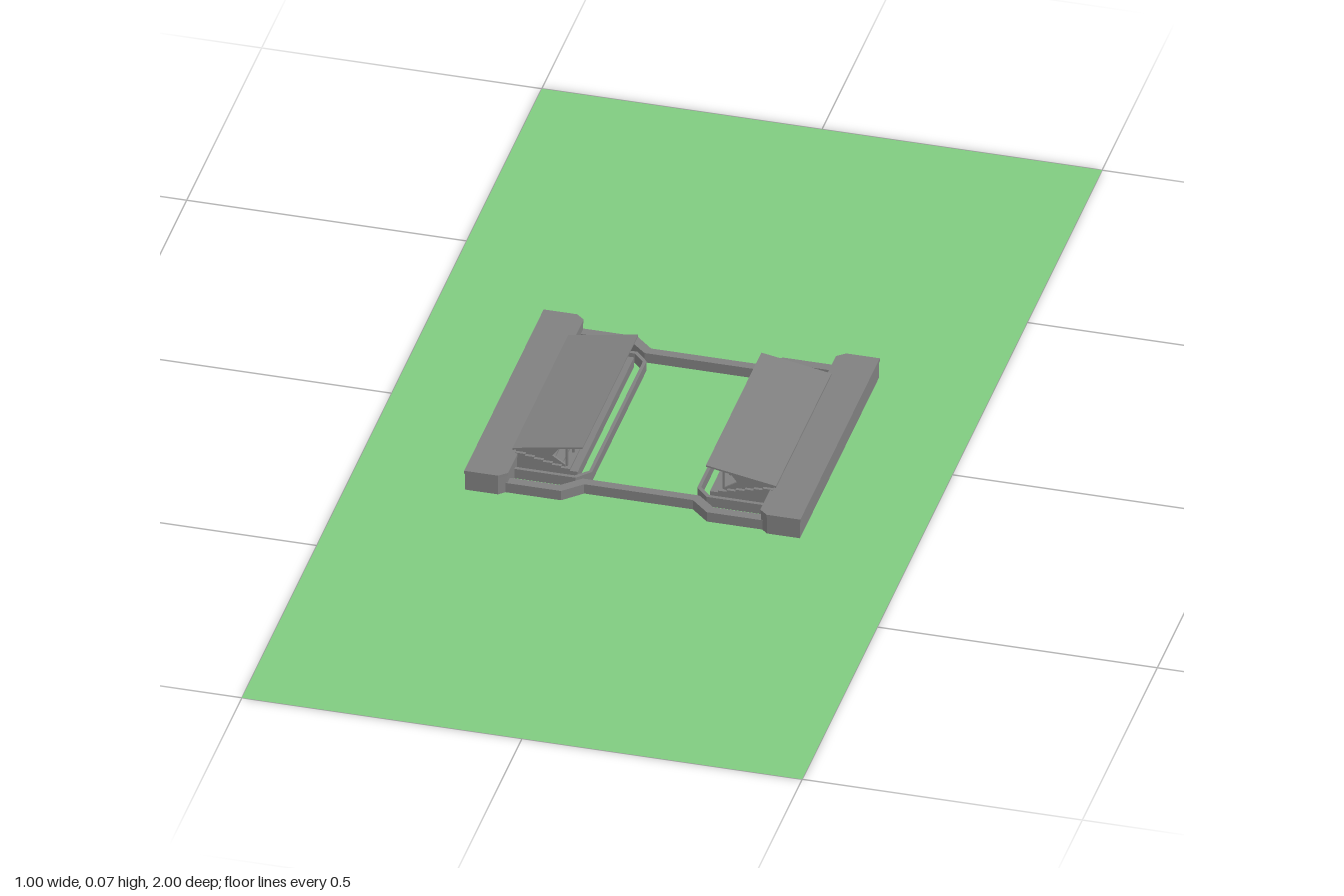
import * as THREE from 'three';

const BASE = 0.001; // keeps the structures just above the grass

export function createModel() {
  const concrete = new THREE.MeshStandardMaterial({ color: 0x808080 });
  concrete.name = 'concrete grey';
  const grass = new THREE.MeshStandardMaterial({ color: 0x80cb80, side: THREE.DoubleSide });
  grass.name = 'grass green';

  const model = new THREE.Group();
  model.name = 'stadium';

  const add = (parent, name, geometry, material = concrete) => {
    const mesh = new THREE.Mesh(geometry, material);
    mesh.name = name;
    parent.add(mesh);
    return mesh;
  };
  const shapeOf = (pts) => new THREE.Shape(pts.map(([x, y]) => new THREE.Vector2(x, y)));
  // Plan outline (x, z) raised from y0 to y1
  const plan = (pts, y0, y1) => new THREE.ExtrudeGeometry(shapeOf(pts.map(([x, z]) => [x, -z])),
    { depth: y1 - y0, bevelEnabled: false }).rotateX(-Math.PI / 2).translate(0, y0, 0);
  // Side profile (x, y) running from z0 to z1
  const profile = (pts, z0, z1) => new THREE.ExtrudeGeometry(shapeOf(pts),
    { depth: z1 - z0, bevelEnabled: false }).translate(0, 0, z0);
  const mirrorX = (pts) => [...pts, ...pts.map(([x, z]) => [-x, z]).reverse()];
  const mirrorZ = (pts) => [...pts, ...pts.map(([x, z]) => [x, -z]).reverse()];

  // Ground
  add(model, 'grassField', new THREE.PlaneGeometry(1, 2).rotateX(-Math.PI / 2), grass);

  // End walls stepping outward at the corners
  const outer = [[0.232, 0.254], [0.13, 0.254], [0.097, 0.223]];
  const inner = [[0.232, 0.236], [0.137, 0.236], [0.104, 0.206]];
  const endWall = [...mirrorX(outer), ...mirrorX(inner).reverse()];
  for (const s of [1, -1]) {
    const wall = plan(endWall, BASE, 0.02);
    if (s < 0) wall.rotateY(Math.PI);
    add(model, s > 0 ? 'frontEndWall' : 'backEndWall', wall);
  }

  // One long stand facing the pitch, on the +x side
  const buildStand = () => {
    const stand = new THREE.Group();

    // Rear building with chamfered inner corners and a top slab
    const rear = (inset) => mirrorZ([[0.225 + inset, 0.252 - inset], [0.24, 0.265 - inset], [0.3 - inset, 0.265 - inset]]);
    add(stand, 'rearBuilding', plan(rear(0.001), BASE, 0.034));
    add(stand, 'rearRoofSlab', plan(rear(0), 0.034, 0.04));

    // Stepped seating
    const steps = [[0.23, BASE], [0.118, BASE], [0.118, 0.02]];
    const count = 6;
    for (let i = 0; i < count; i++) {
      const x = 0.132 + i * 0.016;
      const y = 0.02 + i * 0.0035;
      steps.push([x, y], [x, y + 0.0035]);
    }
    steps.push([0.23, 0.041]);
    add(stand, 'seatingTiers', profile(steps, -0.188, 0.188));

    // Sloping roof and gable walls
    const roof = [[0.235, 0.044], [0.235, 0.048], [0.11, 0.07], [0.11, 0.067]];
    add(stand, 'roof', profile(roof, -0.185, 0.185));
    const gable = [[0.23, 0.02], [0.14, 0.02], [0.142, 0.027], [0.165, 0.042], [0.152, 0.059], [0.23, 0.046]];
    for (const z of [-0.182, 0.178]) add(stand, 'gableWall', profile(gable, z, z + 0.004));

    // Roof posts
    for (let i = 0; i < 9; i++) {
      const post = add(stand, 'roofPost', new THREE.BoxGeometry(0.004, 0.041, 0.004));
      post.position.set(0.14, 0.042, -0.178 + i * 0.0445);
    }

    // Low pitch-side wall wrapping round the seating
    const rail = [...mirrorZ([[0.23, 0.207], [0.117, 0.207], [0.094, 0.182]]),
      ...mirrorZ([[0.23, 0.2], [0.12, 0.2], [0.1, 0.179]]).reverse()];
    add(stand, 'pitchWall', plan(rail, BASE, 0.02));
    return stand;
  };

  const leftStand = buildStand();
  leftStand.name = 'leftStand';
  const rightStand = buildStand();
  rightStand.name = 'rightStand';
  rightStand.rotation.y = Math.PI;
  model.add(leftStand, rightStand);
  return model;
}
